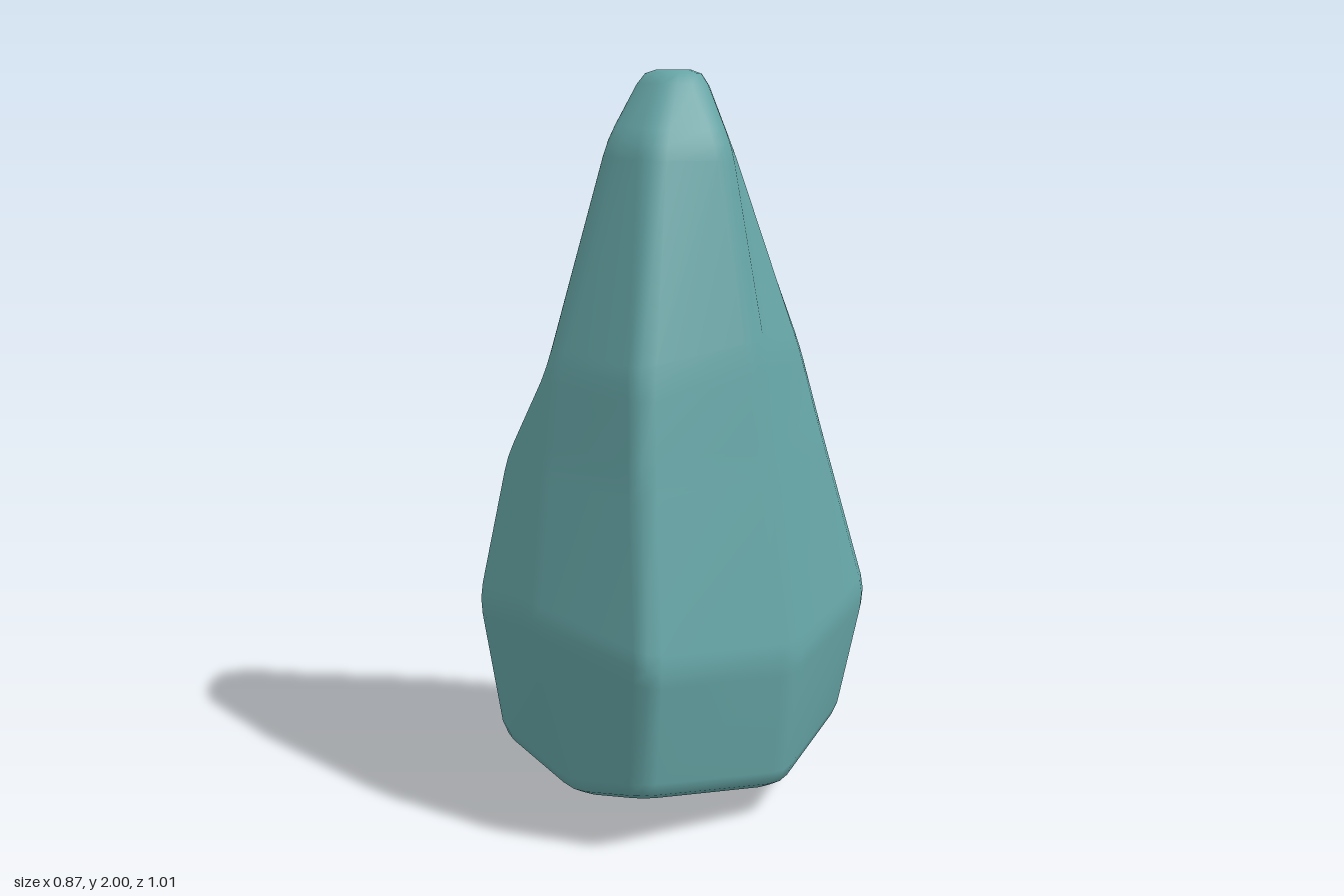
import * as THREE from 'three';
import { mergeVertices } from 'three/addons/utils/BufferGeometryUtils.js';

const BEVEL = 0.045;
const V = (p) => new THREE.Vector3(...p);

// Horizontal sections, bottom to top. Columns run: front left, left, back left,
// back, back right, right, front right, front.
const SECTIONS = [
  [[0.28, 0.16, 0.44], [0.41, 0.09, 0], [0.28, 0.15, -0.44], [-0.02, 0.12, -0.46],
    [-0.28, 0.17, -0.38], [-0.39, 0.1, 0], [-0.28, 0.18, 0.4], [0.04, 0.11, 0.45]],
  [[0.33, 0.52, 0.47], [0.44, 0.46, 0], [0.33, 0.52, -0.51], [-0.08, 0.55, -0.51],
    [-0.35, 0.54, -0.4], [-0.445, 0.53, 0.01], [-0.35, 0.57, 0.42], [-0.05, 0.6, 0.51]],
  [[0.25, 0.98, 0.4], [0.35, 1.0, 0], [0.25, 1.0, -0.39], [-0.12, 1.0, -0.4],
    [-0.32, 0.97, -0.27], [-0.41, 0.99, 0.01], [-0.32, 0.96, 0.33], [-0.1, 1.0, 0.41]],
  [[0.21, 1.22, 0.36], [0.31, 1.26, 0], [0.21, 1.25, -0.33], [-0.12, 1.25, -0.335],
    [-0.16, 1.24, -0.31], [-0.245, 1.21, 0.01], [-0.165, 1.22, 0.32], [-0.12, 1.24, 0.35]],
  [[0.08, 1.81, 0.17], [0.19, 1.81, -0.02], [0.09, 1.77, -0.17], [-0.06, 1.78, -0.175],
    [-0.09, 1.79, -0.155], [-0.18, 1.81, -0.03], [-0.1, 1.82, 0.14], [-0.07, 1.82, 0.17]],
  [[0.02, 2, 0.04], [0.07, 2, -0.04], [0.02, 2, -0.12], [-0.05, 2, -0.12],
    [-0.07, 2, -0.11], [-0.11, 2, -0.04], [-0.07, 2, 0.03], [-0.05, 2, 0.04]],
];
const BOTTOM = [0.04, 0, 0.02];
const TOP = [-0.025, 2, -0.04];

// Replaces a corner with three points along a small rounded bevel.
function bevelCorner(prev, corner, next) {
  const cut = (to) => {
    const length = corner.distanceTo(to);
    return corner.clone().lerp(to, Math.min(BEVEL / Math.max(length, 1e-6), 0.4));
  };
  const a = cut(prev), b = cut(next);
  const middle = a.clone().add(b).multiplyScalar(0.25).addScaledVector(corner, 0.5);
  return [a, middle, b];
}

function bevelLoop(points) {
  const n = points.length;
  return points.flatMap((p, i) => bevelCorner(points[(i + n - 1) % n], p, points[(i + 1) % n]));
}

function bevelChain(points) {
  return points.flatMap((p, i) =>
    i === 0 || i === points.length - 1 ? [p] : bevelCorner(points[i - 1], p, points[i + 1]));
}

function rockGeometry() {
  // Bevel each section, then each column running from the base to the tip.
  const rings = SECTIONS.map((s) => bevelLoop(s.map(V)));
  const columns = rings[0].map((_, i) => bevelChain([V(BOTTOM), ...rings.map((r) => r[i]), V(TOP)]));
  const n = columns.length, rows = columns[0].length;

  const positions = columns.flatMap((c) => c.flatMap((p) => p.toArray()));
  const index = [];
  for (let i = 0; i < n; i++) {
    const c0 = i * rows, c1 = ((i + 1) % n) * rows;
    for (let j = 0; j < rows - 1; j++) {
      if (j > 0) index.push(c0 + j, c1 + j, c1 + j + 1);
      if (j < rows - 2) index.push(c0 + j, c1 + j + 1, c0 + j + 1);
      if (j === 0) continue;
    }
  }
  const geometry = new THREE.BufferGeometry();
  geometry.setAttribute('position', new THREE.Float32BufferAttribute(positions, 3));
  geometry.setIndex(index);
  const merged = mergeVertices(geometry, 1e-4);
  merged.computeVertexNormals(); // area weighting keeps the broad facets flat
  return merged;
}

export function createModel() {
  const group = new THREE.Group();
  group.name = 'standingRock';
  const rock = new THREE.Mesh(
    rockGeometry(),
    new THREE.MeshStandardMaterial({ color: 0x66a5a6 }),
  );
  rock.name = 'rock';
  group.add(rock);
  return group;
}
